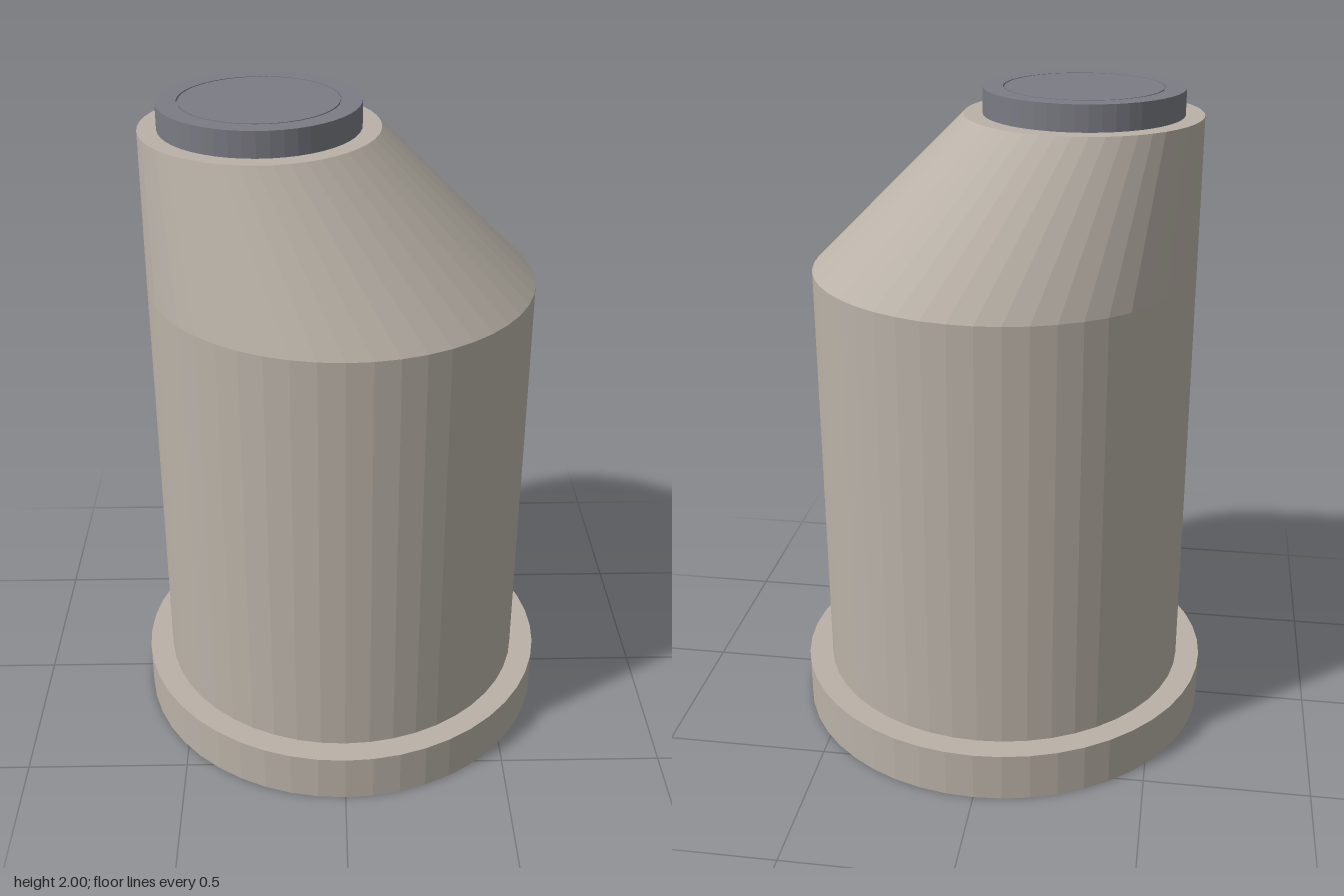
import * as THREE from 'three';

const SIDES = 48;

export function createModel() {
  const model = new THREE.Group();
  const stone = new THREE.MeshStandardMaterial({ name: 'warmGrey', color: 0xbab2a8, flatShading: true });
  const slate = new THREE.MeshStandardMaterial({ name: 'slateGrey', color: 0x7b7c84, flatShading: true });

  const add = (name, geometry, material) => {
    const mesh = new THREE.Mesh(geometry, material);
    mesh.name = name;
    model.add(mesh);
    return mesh;
  };
  // Round section standing between two heights
  const section = (rTop, rBottom, y0, y1, open = false) =>
    new THREE.CylinderGeometry(rTop, rBottom, y1 - y0, SIDES, 1, open).translate(0, (y0 + y1) / 2, 0);

  // Base flange and straight barrel
  add('baseFlange', section(0.65, 0.65, 0, 0.15), stone);
  add('barrel', section(0.575, 0.575, 0.15, 1.465, true), stone);

  // Eccentric cone: the top slides sideways so the right-hand side stays vertical
  const y0 = 1.465, y1 = 1.925, offset = -0.23;
  const cone = section(0.345, 0.575, y0, y1);
  const p = cone.attributes.position;
  for (let i = 0; i < p.count; i++) {
    p.setX(i, p.getX(i) + offset * (p.getY(i) - y0) / (y1 - y0));
  }
  cone.computeVertexNormals();
  add('eccentricCone', cone, stone);

  // Lid with a fine circular groove in its top
  const profile = [
    [0.29, y1], [0.29, 2], [0.232, 2], [0.232, 1.992], [0.227, 1.992], [0.227, 2], [0, 2],
  ].map(([r, y]) => new THREE.Vector2(r, y));
  add('lid', new THREE.LatheGeometry(profile, SIDES), slate).position.x = offset;

  return model;
}
